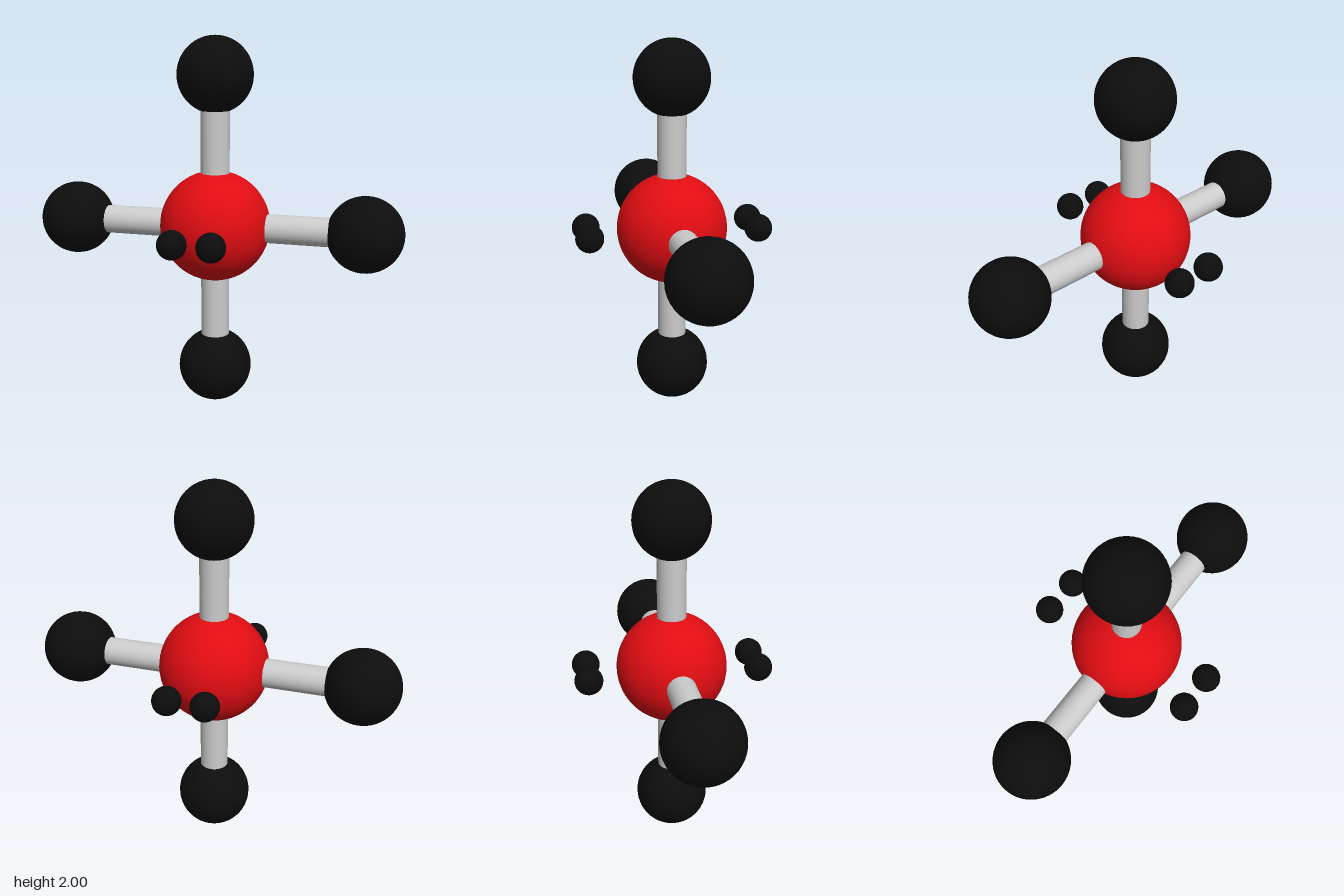
import * as THREE from 'three';

export function createModel() {
  const model = new THREE.Group();
  const red = new THREE.MeshStandardMaterial({ color: 0xe00d12 });
  const black = new THREE.MeshStandardMaterial({ color: 0x0d0d0d });
  const grey = new THREE.MeshStandardMaterial({ color: 0xcccccc });

  const add = (name, geometry, material, x, y, z, parent = model) => {
    const mesh = new THREE.Mesh(geometry, material);
    mesh.name = name;
    mesh.position.set(x, y, z);
    parent.add(mesh);
    return mesh;
  };

  // Central atom
  add('centralAtom', new THREE.SphereGeometry(0.297, 48, 32), red, 0, 1, 0);

  // Four bonded atoms, each arm built pointing up and turned about the centre
  const atomGeometry = new THREE.SphereGeometry(0.2, 40, 28);
  const bondGeometry = new THREE.CylinderGeometry(0.077, 0.077, 0.8, 32);
  ['top', 'right', 'bottom', 'left'].forEach((side, i) => {
    const arm = new THREE.Group();
    arm.name = `${side}Arm`;
    arm.position.y = 1;
    arm.rotation.z = i * Math.PI / 2;
    add('bond', bondGeometry, grey, 0, 0.4, 0, arm);
    add('outerAtom', atomGeometry, black, 0, 0.8, 0, arm);
    model.add(arm);
  });

  // Lone electron pairs in front and behind
  const electronGeometry = new THREE.SphereGeometry(0.075, 28, 20);
  for (const [pair, z] of [['front', 0.455], ['back', -0.455]])
    for (const [side, x] of [['Left', 0.1], ['Right', -0.1]])
      add(`${pair}${side}Electron`, electronGeometry, black, x, 1, z);

  return model;
}
